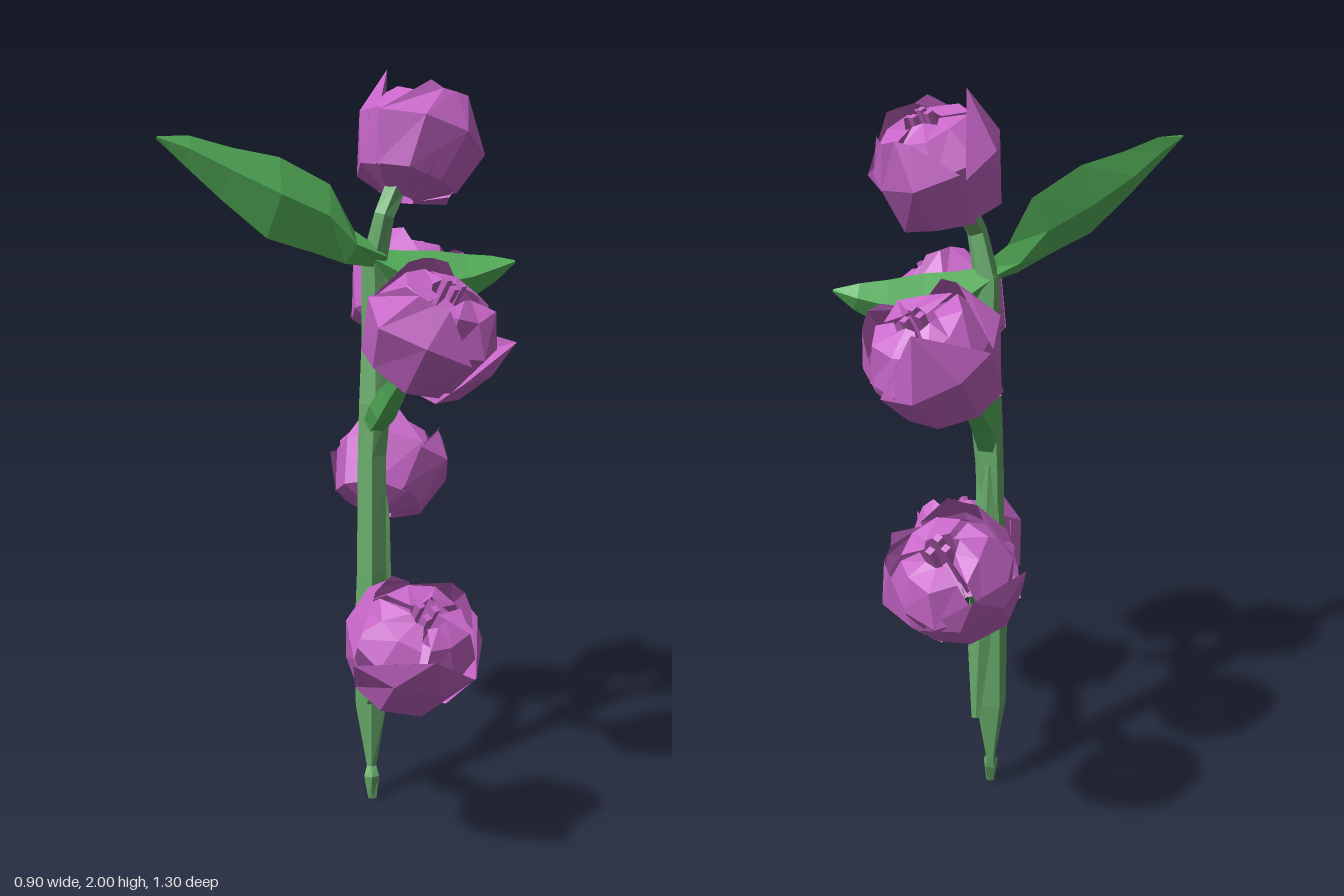
import * as THREE from 'three';

const V = (p) => new THREE.Vector3(...p);

// Seeded random for small irregularities
function makeRandom(seed) {
  return () => {
    seed = (seed * 16807) % 2147483647;
    return seed / 2147483647;
  };
}

// Skin a grid of points (rows of equal length) with flat facets
function skin(rows, closed) {
  const n = rows[0].length;
  const index = [];
  for (let i = 0; i < rows.length - 1; i++) {
    for (let j = 0; j < (closed ? n : n - 1); j++) {
      const a = i * n + j, b = i * n + (j + 1) % n;
      index.push(a, a + n, b, b, a + n, b + n);
    }
  }
  const g = new THREE.BufferGeometry().setFromPoints(rows.flat());
  g.setIndex(index);
  const flat = g.toNonIndexed();
  flat.computeVertexNormals();
  return flat;
}

// Loft along stations [x, y, z, half height along hint, half thickness across]
function loft(stations, sides, hint) {
  const centres = stations.map((s) => V(s.slice(0, 3)));
  const rows = stations.map((s, i) => {
    const t = centres[Math.min(i + 1, centres.length - 1)].clone()
      .sub(centres[Math.max(i - 1, 0)]).normalize();
    const side = t.clone().cross(hint).normalize();
    const up = side.clone().cross(t);
    return Array.from({ length: sides }, (_, j) => {
      const a = -(j / sides) * Math.PI * 2;
      return centres[i].clone()
        .addScaledVector(up, Math.cos(a) * s[3])
        .addScaledVector(side, Math.sin(a) * s[4]);
    });
  });
  return skin(rows, true);
}

// Petal from rows [height, radius, half angle], curved around the flower axis
function petal(rows, azimuth, rand) {
  const grid = rows.map(([y, r, half], i) => [1, 0.35, -0.35, -1].map((k) => {
    const a = azimuth + k * half;
    const d = i === 0 || half < 0.05 ? 0 : 0.022;
    const rr = r + (rand() - 0.5) * d;
    return new THREE.Vector3(Math.sin(a) * rr, y + (rand() - 0.5) * d, Math.cos(a) * rr);
  }));
  return skin(grid, false);
}

const OUTER = [[0, 0.04, 1.1], [0.045, 0.135, 1.1], [0.18, 0.176, 1.05], [0.285, 0.135, 0.45]];
const INNER = [[0.015, 0.035, 1.0], [0.06, 0.12, 1.0], [0.18, 0.16, 1.0], [0.265, 0.11, 0.95], [0.28, 0.045, 0.9]];

export function createModel() {
  const model = new THREE.Group();
  model.name = 'floweringStalk';
  const makeMaterial = (name, color) => {
    const m = new THREE.MeshStandardMaterial({ color, flatShading: true, side: THREE.DoubleSide });
    m.name = name;
    return m;
  };
  const green = makeMaterial('leaf green', 0x58b85e);
  const stemGreen = makeMaterial('stem green', 0x68ac6b);
  const purple = makeMaterial('petal purple', 0xc766c8);

  const add = (parent, name, geometry, material) => {
    const mesh = new THREE.Mesh(geometry, material);
    mesh.name = name;
    parent.add(mesh);
    return mesh;
  };
  const UP = new THREE.Vector3(0, 1, 0);
  const FRONT = new THREE.Vector3(0, 0, 1);

  // Main stem, tapering to a hooked foot
  add(model, 'stem', loft([
    [0.064, 0.0, 0.012, 0.006, 0.012], [0.062, 0.065, 0.008, 0.033, 0.022],
    [0.062, 0.09, -0.008, 0.018, 0.014], [0.06, 0.27, -0.012, 0.034, 0.045],
    [0.06, 0.5, -0.002, 0.05, 0.048], [0.06, 0.66, 0.0, 0.05, 0.042],
    [0.06, 0.98, -0.005, 0.045, 0.04], [0.068, 1.12, 0.0, 0.04, 0.045],
    [0.07, 1.3, -0.01, 0.03, 0.04], [0.065, 1.5, 0.0, 0.028, 0.035],
    [0.09, 1.62, 0.015, 0.028, 0.028], [0.12, 1.69, -0.02, 0.035, 0.03],
  ], 5, FRONT), stemGreen);

  // Flat sheath along the back of the stem
  add(model, 'sheath', loft([
    [0.1, 0.24, -0.05, 0.004, 0.012], [0.09, 0.45, -0.045, 0.012, 0.03],
    [0.07, 0.8, -0.042, 0.012, 0.04], [0.06, 1.0, -0.035, 0.008, 0.02],
  ], 4, FRONT), stemGreen);

  // Side branches
  const branches = {
    lowerFrontBranch: [[0.06, 0.33, -0.01, 0.03, 0.035], [0.07, 0.365, 0.1, 0.065, 0.045],
      [0.085, 0.43, 0.19, 0.045, 0.04], [0.11, 0.46, 0.33, 0.025, 0.03]],
    lowerBackBranch: [[0.06, 0.57, -0.03, 0.03, 0.03], [0.07, 0.64, -0.11, 0.05, 0.045],
      [0.08, 0.72, -0.21, 0.035, 0.035], [0.087, 0.78, -0.36, 0.02, 0.025]],
    upperFrontBranch: [[0.065, 1.06, 0.0, 0.03, 0.03], [0.09, 1.12, 0.09, 0.04, 0.04],
      [0.115, 1.18, 0.16, 0.035, 0.035], [0.14, 1.23, 0.25, 0.02, 0.025]],
    upperBackBranch: [[0.065, 1.03, 0.0, 0.03, 0.03], [0.07, 1.14, -0.07, 0.045, 0.045],
      [0.085, 1.23, -0.15, 0.05, 0.04], [0.12, 1.3, -0.27, 0.02, 0.025]],
  };
  for (const [name, stations] of Object.entries(branches)) {
    add(model, name, loft(stations, 5, UP), green);
  }

  // Two leaves near the top, the right one tilted back
  add(model, 'rightLeaf', loft([
    [0.085, 1.505, 0.0, 0.025, 0.025], [0.0, 1.54, 0.06, 0.05, 0.03],
    [-0.07, 1.615, 0.11, 0.1, 0.03], [-0.19, 1.67, 0.21, 0.11, 0.035],
    [-0.3, 1.73, 0.285, 0.07, 0.028], [-0.39, 1.785, 0.352, 0.038, 0.014],
    [-0.452, 1.812, 0.403, 0.004, 0.004],
  ], 4, new THREE.Vector3(0, 0.9, -0.3)), green);
  add(model, 'leftLeaf', loft([
    [0.05, 1.51, 0.01, 0.025, 0.025], [0.12, 1.47, -0.02, 0.06, 0.04],
    [0.22, 1.44, -0.05, 0.085, 0.045], [0.32, 1.455, -0.08, 0.06, 0.035],
    [0.39, 1.475, -0.1, 0.035, 0.022], [0.448, 1.492, -0.11, 0.004, 0.004],
  ], 4, UP), green);

  // Flowers: centre, axis, and the point reached by the long petal
  const flowers = [
    ['topFlower', [0.175, 1.805, -0.08], [0.3, 1, -0.3], [0.1, 2.0, -0.15]],
    ['upperFrontFlower', [0.2, 1.345, 0.31], [0.35, 0.8, 0.35], [0.41, 1.32, 0.31]],
    ['upperBackFlower', [0.165, 1.395, -0.375], [0.3, 0.8, -0.4], [0.2, 1.5, -0.565]],
    ['lowerBackFlower', [0.12, 0.86, -0.455], [0.2, 0.75, -0.5], [0.06, 0.885, -0.652]],
    ['lowerFrontFlower', [0.15, 0.575, 0.415], [0.25, 0.75, 0.5], [0.2, 0.61, 0.652]],
  ];
  flowers.forEach(([name, centre, axis, tip], f) => {
    const rand = makeRandom(71 + f * 913);
    const dir = V(axis).normalize();
    const flower = new THREE.Group();
    flower.name = name;
    flower.quaternion.setFromUnitVectors(UP, dir);
    flower.position.copy(V(centre)).addScaledVector(dir, -0.155);
    model.add(flower);

    // Long pointed petal reaching the tip
    const local = V(tip).sub(flower.position).applyQuaternion(flower.quaternion.clone().invert());
    const azimuth = Math.atan2(local.x, local.z);
    const knee = Math.min(0.18, local.y * 0.6);
    add(flower, 'pointedPetal', petal([
      OUTER[0], OUTER[1], [knee, 0.176, 1.0], [local.y, Math.hypot(local.x, local.z), 0.01],
    ], azimuth, rand), purple);

    // The rest of the cup, with inner petals folding over the opening
    for (let i = 0; i < 3; i++) {
      const a = azimuth + i * Math.PI * 2 / 3;
      if (i > 0) add(flower, 'outerPetal', petal(OUTER, a, rand), purple);
      add(flower, 'innerPetal', petal(INNER, a + Math.PI / 3, rand), purple);
    }

    // Stamens just showing in the opening
    for (let i = 0; i < 3; i++) {
      const a = i * Math.PI * 2 / 3;
      const stamen = add(flower, 'stamen', new THREE.CylinderGeometry(0.013, 0.005, 0.2, 4), purple);
      stamen.position.set(Math.sin(a) * 0.022, 0.2, Math.cos(a) * 0.022);
    }
  });

  return model;
}
